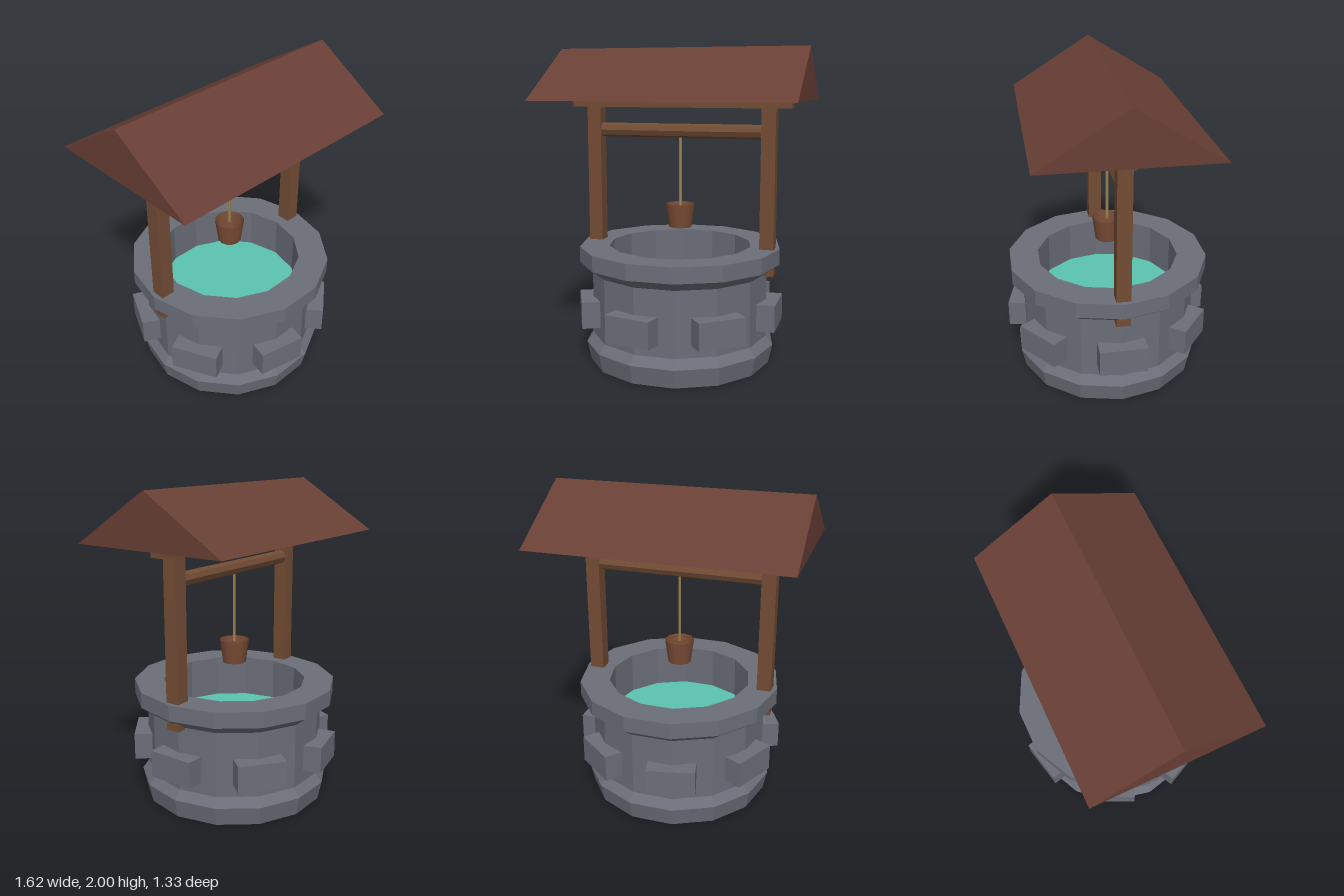
import * as THREE from 'three';

const flat = (color, side = THREE.FrontSide) =>
  new THREE.MeshStandardMaterial({ color, side, flatShading: true });

export function createModel() {
  const well = new THREE.Group();
  const stone = flat(0x6b6e78);
  const wood = flat(0x724c34);
  const bucketWood = new THREE.MeshStandardMaterial({ color: 0x7a4c36, side: THREE.DoubleSide });

  const add = (name, geometry, material, x = 0, y = 0, z = 0, parent = well) => {
    const mesh = new THREE.Mesh(geometry, material);
    mesh.name = name;
    mesh.position.set(x, y, z);
    parent.add(mesh);
    return mesh;
  };

  // Fourteen-sided stone wall with flared foot, overhanging rim and inner shaft
  const SIDES = 14, WATER_Y = 0.48, INNER = 0.46;
  const profile = [
    [0, 0], [0.59, 0], [0.615, 0.12], [0.57, 0.175], [0.57, 0.59],
    [0.65, 0.65], [0.65, 0.75], [INNER, 0.75], [INNER, WATER_Y - 0.03],
  ].map(([r, y]) => new THREE.Vector2(r, y));
  add('stoneWall', new THREE.LatheGeometry(profile, SIDES, Math.PI / 2), stone);

  // Water surface inside the shaft
  add('water', new THREE.CircleGeometry(INNER, SIDES).rotateX(-Math.PI / 2), flat(0x5cc4b0), 0, WATER_Y);

  // Seven blocks standing out of the wall
  const blocks = new THREE.Group();
  blocks.name = 'wallBlocks';
  well.add(blocks);
  for (let i = 0; i < 7; i++) {
    const a = (i / 7) * Math.PI * 2;
    const block = add('wallBlock', new THREE.BoxGeometry(0.12, 0.17, 0.3), stone,
      0.59 * Math.cos(a), 0.337, 0.59 * Math.sin(a), blocks);
    block.rotation.y = -a;
  }

  // Posts, top beam and winding roller
  for (const [name, s] of [['leftPost', 1], ['rightPost', -1]]) {
    add(name, new THREE.BoxGeometry(0.09, 1.05, 0.09), wood, s * 0.572, 1.103);
  }
  add('topBeam', new THREE.BoxGeometry(1.43, 0.09, 0.09), wood, 0, 1.672);
  add('roller', new THREE.CylinderGeometry(0.045, 0.045, 1.07, 8).rotateZ(Math.PI / 2), wood, 0, 1.48);

  // Rope and open bucket
  add('rope', new THREE.CylinderGeometry(0.009, 0.009, 0.47, 6), flat(0x9a8250), 0, 1.235);
  const bucket = new THREE.Group();
  bucket.name = 'bucket';
  well.add(bucket);
  add('bucketSide', new THREE.CylinderGeometry(0.095, 0.075, 0.15, 12, 1, true), bucketWood, 0, 0.937, 0, bucket);
  add('bucketFloor', new THREE.CircleGeometry(0.075, 12).rotateX(Math.PI / 2), bucketWood, 0, 0.862, 0, bucket);

  // Thin gabled roof, closed at both ends and open underneath
  const X = 0.81, Z = 0.522, EAVE = 1.675, RIDGE = 2;
  const roof = new THREE.BufferGeometry();
  roof.setAttribute('position', new THREE.Float32BufferAttribute([
    -X, EAVE, Z, X, EAVE, Z, -X, RIDGE, 0, X, RIDGE, 0, -X, EAVE, -Z, X, EAVE, -Z,
  ], 3));
  roof.setIndex([0, 1, 3, 0, 3, 2, 5, 4, 2, 5, 2, 3, 1, 5, 3, 4, 0, 2]);
  const roofFaces = roof.toNonIndexed();
  roofFaces.computeVertexNormals();
  add('roof', roofFaces, flat(0x683f35, THREE.DoubleSide));

  return well;
}
